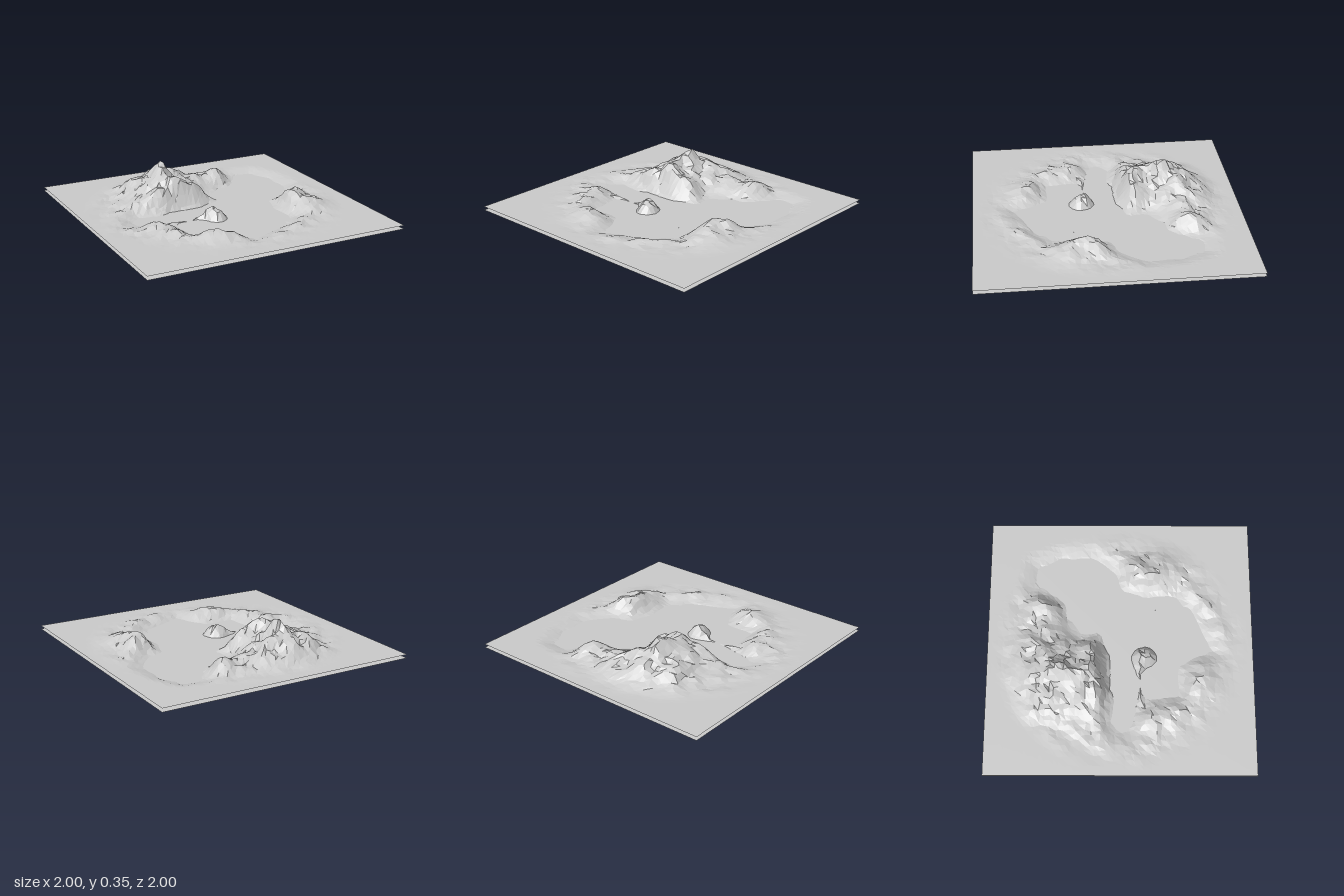
import * as THREE from 'three';

const SEGMENTS = 54;
const RIM = 0.1;      // level of the flat outer border
const WATER = 0.073;  // level of the lake surface

// Shoreline as x, z pairs
const SHORE = [
  [-0.68, -0.02], [-0.6, -0.08], [-0.45, -0.06], [-0.28, -0.09], [-0.1, -0.09], [0.11, -0.16],
  [0.07, -0.28], [0.16, -0.36], [0.24, -0.42], [0.32, -0.43], [0.4, -0.5], [0.5, -0.66],
  [0.65, -0.64], [0.73, -0.45], [0.74, -0.2], [0.6, -0.02], [0.47, 0.01], [0.41, 0.2], [0.42, 0.42],
  [0.3, 0.55], [0.1, 0.63], [-0.05, 0.71], [-0.1, 0.56], [-0.17, 0.45], [-0.4, 0.44],
  [-0.43, 0.22], [-0.52, 0.12], [-0.68, 0.08],
];

// Hills: x, z, height, radius along x, radius along z
const HILLS = [
  [-0.27, -0.45, 0.14, 0.2, 0.26], [-0.25, -0.45, 0.07, 0.07, 0.1], [-0.3, -0.2, 0.12, 0.22, 0.13],
  [-0.06, -0.2, 0.09, 0.1, 0.14], [-0.45, -0.6, 0.05, 0.24, 0.2], [0, -0.62, 0.07, 0.2, 0.16],
  [0.3, -0.56, 0.07, 0.1, 0.14], [0.58, 0.22, 0.075, 0.12, 0.18], [0.74, 0.3, 0.035, 0.15, 0.22],
  [-0.55, 0.3, 0.045, 0.12, 0.22], [-0.26, 0.58, 0.05, 0.14, 0.12], [0.45, 0.62, 0.02, 0.25, 0.12],
];

// Islets rising from the lake bed
const ISLETS = [
  [-0.09, 0.18, 0.135, 0.1, 0.11], [-0.28, 0.14, 0.075, 0.16, 0.05], [0.27, 0.26, 0.092, 0.045, 0.04],
];

const smooth = THREE.MathUtils.smoothstep;

function hash(i, j) {
  const s = Math.sin(i * 127.1 + j * 311.7) * 43758.5453;
  return s - Math.floor(s);
}

// Smooth value noise between -1 and 1
function noise(x, z) {
  const i = Math.floor(x), j = Math.floor(z);
  const u = smooth(x - i, 0, 1), v = smooth(z - j, 0, 1);
  const near = hash(i, j) * (1 - u) + hash(i + 1, j) * u;
  const far = hash(i, j + 1) * (1 - u) + hash(i + 1, j + 1) * u;
  return 2 * (near * (1 - v) + far * v) - 1;
}

function sumHills(hills, x, z, power) {
  return hills.reduce((sum, [cx, cz, h, rx, rz]) =>
    sum + h * Math.exp(-Math.pow(Math.hypot((x - cx) / rx, (z - cz) / rz), power)), 0);
}

// Distance to the shoreline, negative inside the lake
function shoreDistance(x, z) {
  let best = Infinity, inside = false;
  SHORE.forEach(([ax, az], i) => {
    const [bx, bz] = SHORE[(i + 1) % SHORE.length];
    const dx = bx - ax, dz = bz - az;
    const t = THREE.MathUtils.clamp(((x - ax) * dx + (z - az) * dz) / (dx * dx + dz * dz), 0, 1);
    best = Math.min(best, Math.hypot(x - ax - t * dx, z - az - t * dz));
    if ((az > z) !== (bz > z) && x < ax + (z - az) * dx / dz) inside = !inside;
  });
  return inside ? -best : best;
}

function groundHeight(x, z) {
  const fade = 1 - smooth(Math.hypot(x, z), 0.7, 0.97);
  const hills = sumHills(HILLS, x, z, 2);
  const rough = noise(x * 9 + 20, z * 9 + 7) * 0.6 + noise(x * 19, z * 19 + 40) * 0.4;
  const land = RIM + fade * (hills * (1 + 0.3 * rough) + 0.026 * rough);
  const d = shoreDistance(x, z);
  if (d >= 0) return WATER + (land - WATER) * smooth(d, -0.03, 0.12);
  const bed = WATER * (1 - smooth(-d + 0.03 * rough, 0, 0.14));
  return Math.max(0, bed + sumHills(ISLETS, x, z, 3) * (1 + 0.2 * rough));
}

function makeSheet(segments) {
  return new THREE.PlaneGeometry(2, 2, segments, segments).rotateX(-Math.PI / 2);
}

export function createModel() {
  const group = new THREE.Group();
  const material = new THREE.MeshStandardMaterial({
    color: 0xcccccc, flatShading: true, side: THREE.DoubleSide,
  });

  // Terrain: an irregular faceted sheet with mountain, shore hills and lake bed
  const ground = makeSheet(SEGMENTS);
  const p = ground.attributes.position;
  for (let i = 0; i < p.count; i++) {
    let x = p.getX(i), z = p.getZ(i);
    if (Math.max(Math.abs(x), Math.abs(z)) < 0.99) {
      x += (hash(i, 3) - 0.5) * 0.024;
      z += (hash(i, 8) - 0.5) * 0.024;
    }
    p.setXYZ(i, x, groundHeight(x, z), z);
  }
  ground.computeVertexNormals();
  const terrain = new THREE.Mesh(ground, material);
  terrain.name = 'terrain';
  group.add(terrain);

  // Lake: flat water sheet just under the border level
  const lake = new THREE.Mesh(makeSheet(1), material);
  lake.name = 'lakeSurface';
  lake.position.y = WATER;
  group.add(lake);

  return group;
}
